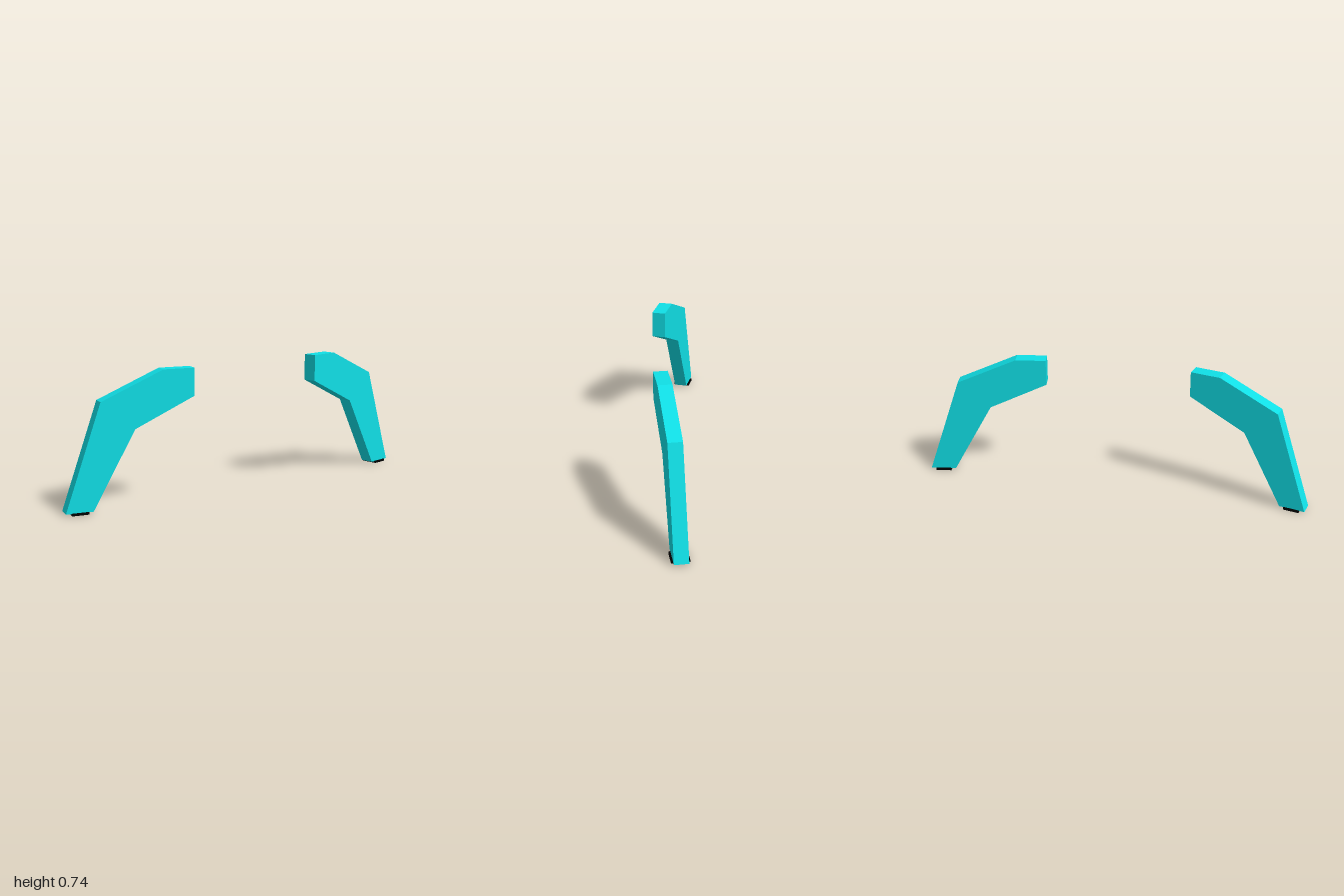
import * as THREE from 'three';

const legMaterial = new THREE.MeshStandardMaterial({ color: 0x10dfe6, flatShading: true });
const padMaterial = new THREE.MeshStandardMaterial({ color: 0x000000 });

// Side outline of a leg: distance outward from the inner end, height
const OUTLINE = [
  [0, 0.59], [0.336, 0.433], [0.573, 0.01], [0.722, 0.01],
  [0.522, 0.59], [0.175, 0.742], [0, 0.742],
];
const THICKNESS = 0.078;

// A bent leg starting at its inner end (x, z) and reaching outward along (dx, dz)
function makeLeg(name, x, z, dx, dz) {
  const group = new THREE.Group();
  group.name = name;

  const shape = new THREE.Shape(OUTLINE.map(([r, y]) => new THREE.Vector2(r, y)));
  const geometry = new THREE.ExtrudeGeometry(shape, { depth: THICKNESS, bevelEnabled: false });
  geometry.translate(0, 0, -THICKNESS / 2);
  const leg = new THREE.Mesh(geometry, legMaterial);
  leg.name = 'bentLeg';

  // Thin foot pad, slightly wider than the leg
  const pad = new THREE.Mesh(new THREE.BoxGeometry(0.092, 0.012, 0.098), padMaterial);
  pad.name = 'footPad';
  pad.position.set(0.645, 0.006, 0);

  group.add(leg, pad);
  group.position.set(x, 0, z);
  group.rotation.y = Math.atan2(-dz, dx);
  return group;
}

export function createModel() {
  const model = new THREE.Group();
  model.name = 'legPair';
  model.add(
    makeLeg('frontLeg', -0.095, 0.45, -0.49, 0.52),
    makeLeg('backLeg', 0.311, -0.304, 0.262, -0.68),
  );
  return model;
}
